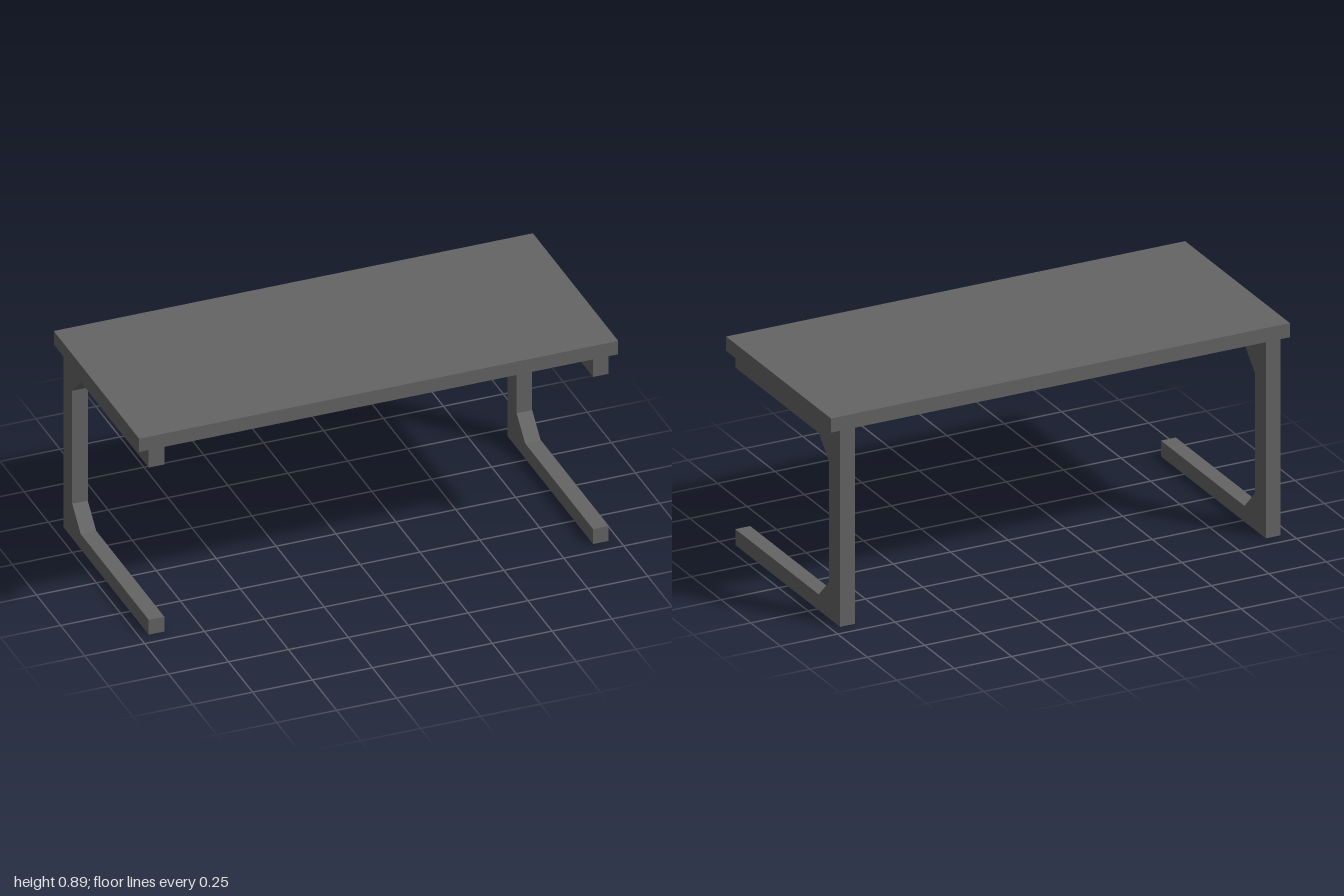
import * as THREE from 'three';

const HALF_DEPTH = 0.443;
const TOP_Y = 0.89;
const TOP_THICKNESS = 0.06;
const LEG_WIDTH = 0.065;
const LEG_OUTER_X = 0.96;

export function createModel() {
  const group = new THREE.Group();
  group.name = 'desk';
  const darkGrey = new THREE.MeshStandardMaterial({ color: 0x646464 });
  darkGrey.name = 'dark grey';

  // Flat rectangular table top
  const top = new THREE.Mesh(
    new THREE.BoxGeometry(2, TOP_THICKNESS, HALF_DEPTH * 2), darkGrey);
  top.name = 'tableTop';
  top.position.y = TOP_Y - TOP_THICKNESS / 2;
  group.add(top);

  // C-shaped side frame, open to the front, with chamfered inner corners (z, y)
  const legTop = TOP_Y - TOP_THICKNESS;
  const profile = new THREE.Shape([
    [HALF_DEPTH, 0], [HALF_DEPTH, 0.067], [-0.263, 0.067], [-0.351, 0.155],
    [-0.351, 0.663], [-0.263, 0.751], [HALF_DEPTH, 0.751], [HALF_DEPTH, legTop],
    [-HALF_DEPTH, legTop], [-HALF_DEPTH, 0],
  ].map(([z, y]) => new THREE.Vector2(z, y)));
  const legGeometry = new THREE.ExtrudeGeometry(profile, { depth: LEG_WIDTH, bevelEnabled: false });
  legGeometry.rotateY(-Math.PI / 2);
  legGeometry.translate(LEG_WIDTH / 2, 0, 0);

  // One frame near each end
  for (const [name, side] of [['leftLeg', 1], ['rightLeg', -1]]) {
    const leg = new THREE.Mesh(legGeometry, darkGrey);
    leg.name = name;
    leg.position.x = side * (LEG_OUTER_X - LEG_WIDTH / 2);
    group.add(leg);
  }
  return group;
}
